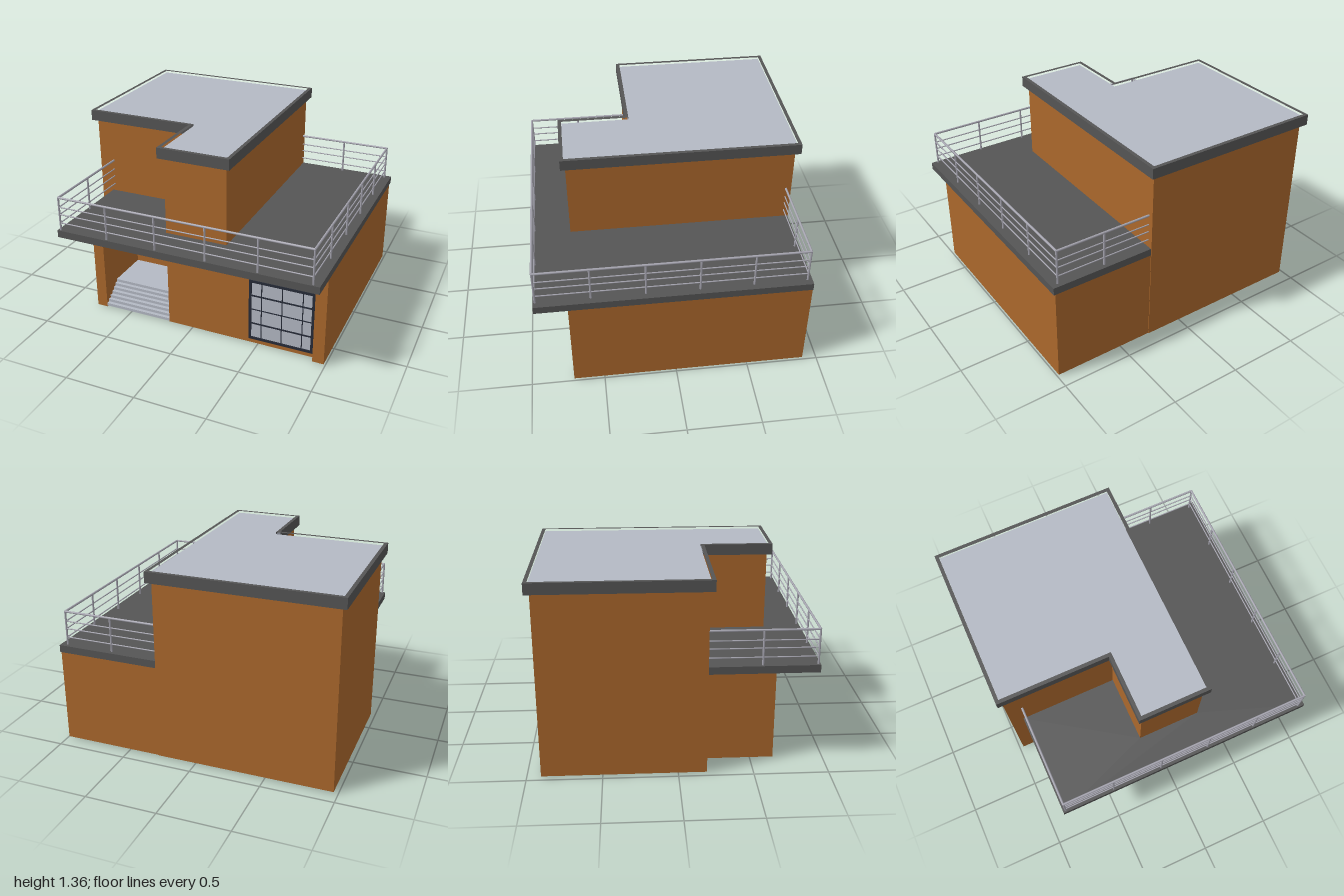
import * as THREE from 'three';

export function createModel() {
  const house = new THREE.Group();
  house.name = 'house';
  const material = (name, color) => {
    const m = new THREE.MeshStandardMaterial({ color });
    m.name = name;
    return m;
  };
  const wall = material('orange wall', 0xab682c);
  const slate = material('dark grey trim', 0x555555);
  const pale = material('pale grey', 0xb4b9c4);
  const metal = material('railing metal', 0xa6a5b0);
  const navy = material('window frame', 0x262b38);

  const add = (name, geometry, mat, parent = house) => {
    const mesh = new THREE.Mesh(geometry, mat);
    mesh.name = name;
    parent.add(mesh);
    return mesh;
  };
  const group = (name) => {
    const g = new THREE.Group();
    g.name = name;
    house.add(g);
    return g;
  };
  // Box given by its two extreme corners
  const box = (name, mat, x0, x1, y0, y1, z0, z1, parent) =>
    add(name, new THREE.BoxGeometry(x1 - x0, y1 - y0, z1 - z0), mat, parent)
      .position.set((x0 + x1) / 2, (y0 + y1) / 2, (z0 + z1) / 2);
  // Vertical prism over a floor plan of [x, z] points, with an optional hole
  const points = (plan) => plan.map(([x, z]) => new THREE.Vector2(x, -z));
  const prism = (name, mat, plan, y0, y1, hole) => {
    const shape = new THREE.Shape(points(plan));
    if (hole) shape.holes.push(new THREE.Path(points(hole)));
    const g = new THREE.ExtrudeGeometry(shape, { depth: y1 - y0, bevelEnabled: false });
    g.rotateX(-Math.PI / 2).translate(0, y0, 0);
    return add(name, g, mat);
  };
  // L-shaped plan, grown outward by d
  const lPlan = (d) => [
    [-0.97 - d, -0.905 - d], [0.27 + d, -0.905 - d], [0.27 + d, 0.665 + d],
    [-0.18 - d, 0.665 + d], [-0.18 - d, 0.19 + d], [-0.97 - d, 0.19 + d],
  ];

  // Two-storey block, ground-floor wing and entrance side wall
  prism('tallBlock', wall, lPlan(0), 0.01, 1.28);
  prism('groundWing', wall, [
    [0.27, -0.9], [0.99, -0.9], [0.99, 0.71], [0.91, 0.71], [0.91, 0.665], [0.27, 0.665],
  ], 0.01, 0.675);
  box('entranceWall', wall, -0.78, -0.7, 0, 0.675, 0.12, 0.66);

  // Flat roof with a raised rim
  prism('roofRim', slate, lPlan(0.033), 1.28, 1.355, lPlan(0.008));
  prism('roofPanel', pale, lPlan(0.008), 1.28, 1.34);

  // Terrace wrapping around the upper floor
  prism('terrace', slate, [
    [0.27, -0.9], [1, -0.9], [1, 0.93], [-0.88, 0.93],
    [-0.88, 0.19], [-0.18, 0.19], [-0.18, 0.665], [0.27, 0.665],
  ], 0.675, 0.727);

  // Entrance steps and landing
  const stairs = group('stairs');
  const steps = 7, rise = 0.145 / steps;
  for (let i = 0; i < steps; i++) {
    const y = 0.01 + i * rise;
    box('step', pale, -0.7, -0.18, y, y + rise, 0.19, 0.66 - i * 0.025, stairs);
  }

  // Window: glass, outer frame and glazing bars
  const win = group('window');
  const face = 0.665;
  box('glass', pale, 0.45, 0.89, 0.055, 0.5, face, face + 0.004, win);
  for (const x of [0.437, 0.882]) box('frameSide', navy, x, x + 0.018, 0.045, 0.51, face, face + 0.012, win);
  for (const y of [0.045, 0.492]) box('frameRail', navy, 0.455, 0.882, y, y + 0.018, face, face + 0.012, win);
  for (const x of [0.527, 0.673, 0.818]) {
    box('verticalBar', navy, x - 0.003, x + 0.003, 0.06, 0.495, face, face + 0.008, win);
  }
  for (const [y, h] of [[0.172, 0.005], [0.283, 0.003], [0.39, 0.005]]) {
    box('horizontalBar', navy, 0.453, 0.884, y - h, y + h, face, face + 0.009, win);
  }

  // Railing: posts and four rails along the terrace edge
  const railing = group('railing');
  const bar = (name, a, b, r) => {
    const from = new THREE.Vector3(...a), to = new THREE.Vector3(...b);
    const dir = to.clone().sub(from);
    const mesh = add(name, new THREE.CylinderGeometry(r, r, dir.length(), 8), metal, railing);
    mesh.position.copy(from).add(to).multiplyScalar(0.5);
    mesh.quaternion.setFromUnitVectors(new THREE.Vector3(0, 1, 0), dir.normalize());
  };
  const runs = [
    [[-0.86, 0.19], [-0.86, 0.915], 2],
    [[-0.86, 0.915], [0.953, 0.915], 5],
    [[0.953, 0.915], [0.953, -0.868], 5],
    [[0.953, -0.868], [0.27, -0.868], 2],
  ];
  runs.forEach(([[x0, z0], [x1, z1], n], k) => {
    for (const y of [0.782, 0.845, 0.9]) bar('rail', [x0, y, z0], [x1, y, z1], 0.0045);
    bar('handrail', [x0, 0.97, z0], [x1, 0.97, z1], 0.008);
    for (let i = k === 0 ? 1 : 0; i < n; i++) {
      const x = x0 + (x1 - x0) * i / n, z = z0 + (z1 - z0) * i / n;
      bar('post', [x, 0.72, z], [x, 0.974, z], 0.007);
    }
  });

  return house;
}
